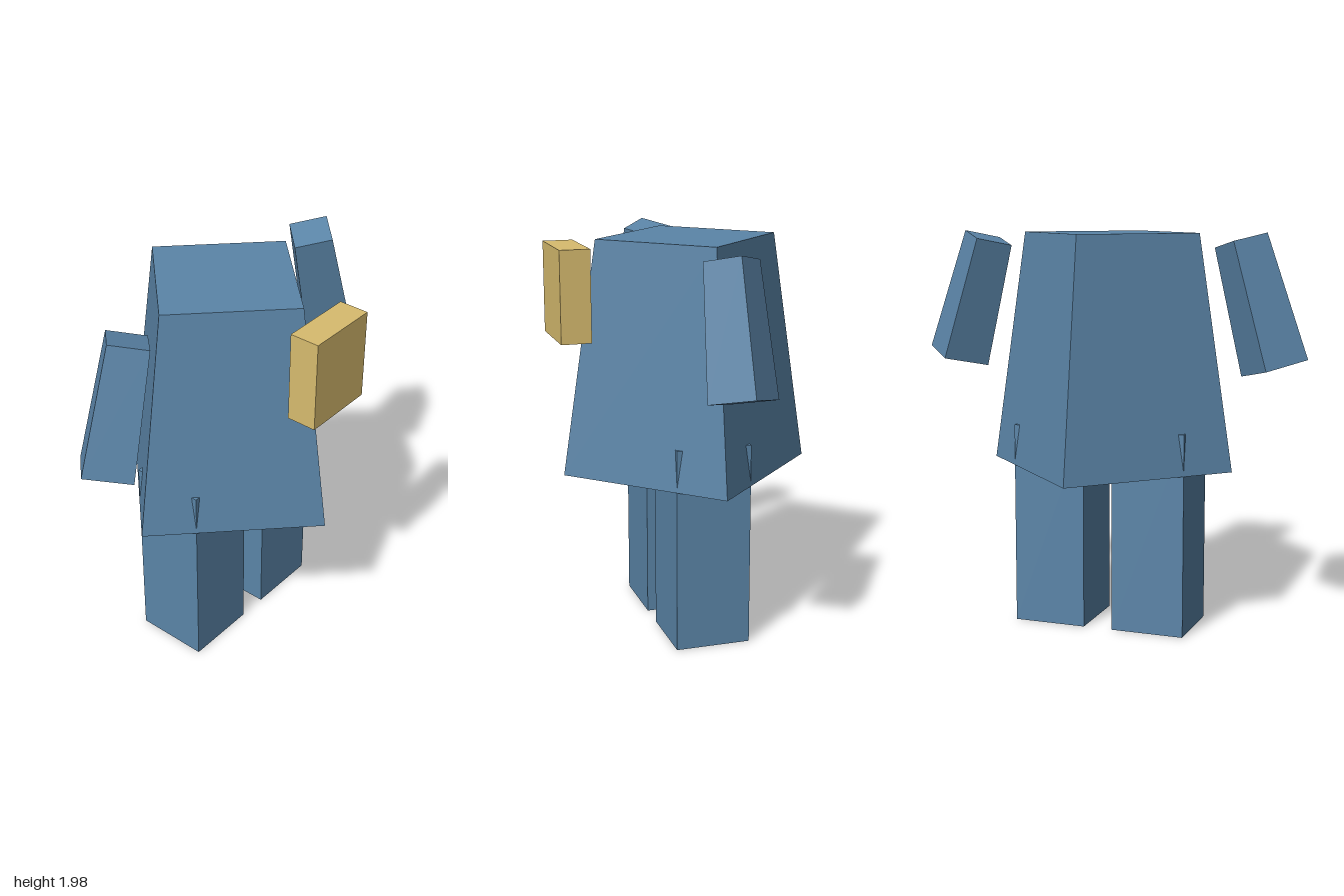
import * as THREE from 'three';

const CENTRE_Z = -0.018;

export function createModel() {
  const model = new THREE.Group();
  model.name = 'blockFigure';

  const blue = new THREE.MeshStandardMaterial({ color: 0x5b85a8, flatShading: true });
  blue.name = 'steel blue';
  const gold = new THREE.MeshStandardMaterial({ color: 0xd8bc6f, flatShading: true });
  gold.name = 'gold';

  const add = (name, geometry, material, x, y, z) => {
    const mesh = new THREE.Mesh(geometry, material);
    mesh.name = name;
    mesh.position.set(x, y, z);
    model.add(mesh);
    return mesh;
  };

  // Four-sided tapering torso, one edge facing forward
  add('torso', new THREE.CylinderGeometry(0.458, 0.635, 1.162, 4), blue, 0, 1.391, CENTRE_Z);

  // Plate floating in front of the chest
  add('chestPlate', new THREE.BoxGeometry(0.37, 0.445, 0.148), gold, 0, 1.728, 0.582);

  // Legs reach up into the torso, arms splay outward beside it
  const legGeometry = new THREE.BoxGeometry(0.37, 1.015, 0.374);
  const armGeometry = new THREE.CylinderGeometry(0.134, 0.169, 0.632, 4);
  for (const [side, s] of [['left', 1], ['right', -1]]) {
    add(side + 'Leg', legGeometry, blue, s * 0.26, 0.5075, CENTRE_Z);
    const arm = add(side + 'Arm', armGeometry, blue, s * 0.75, 1.636, CENTRE_Z);
    arm.rotation.z = s * 0.28;
  }

  return model;
}
